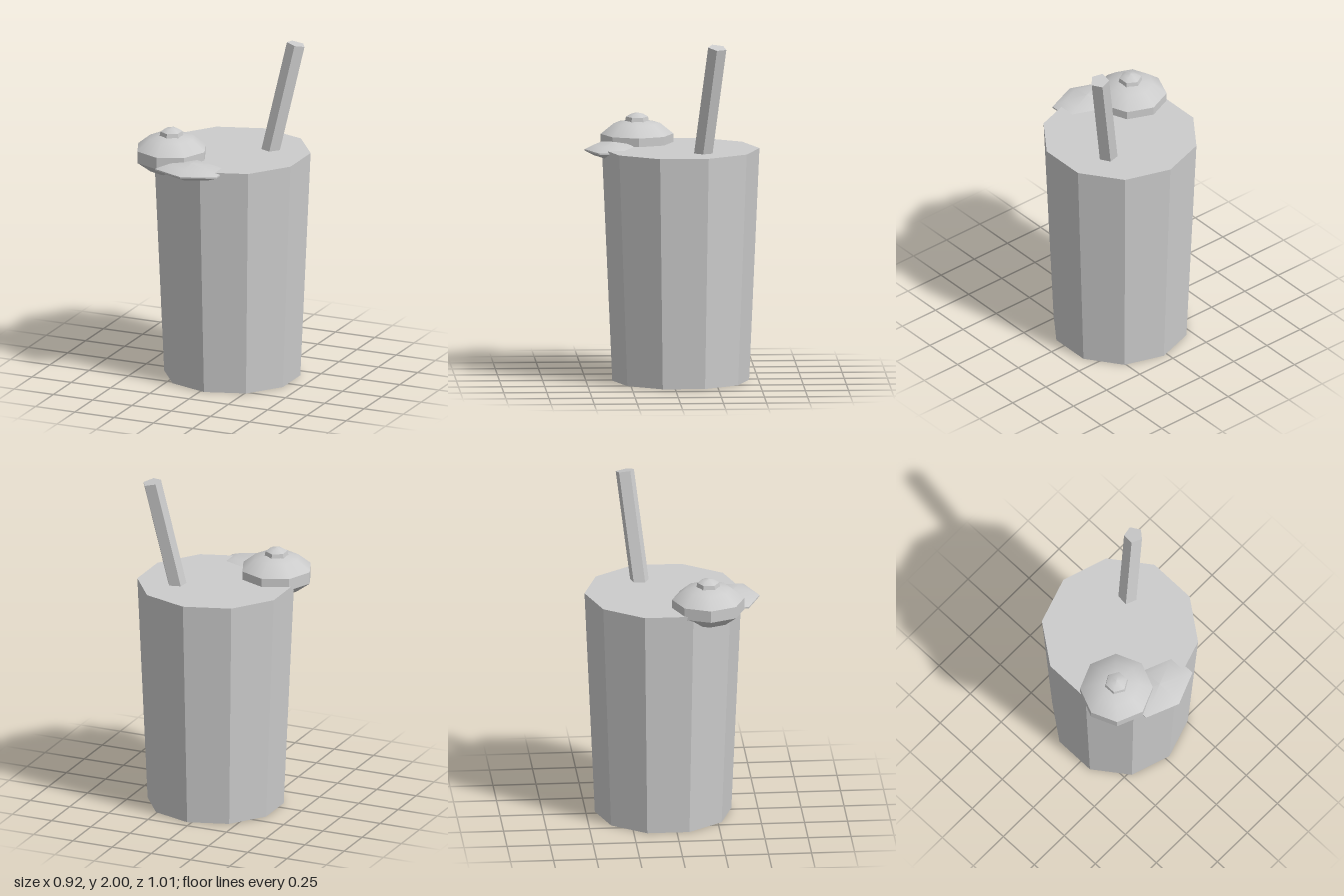
import * as THREE from 'three';

const grey = new THREE.MeshStandardMaterial({ color: 0xcccccc });
grey.name = 'plainGrey';

function add(parent, name, geometry) {
  const mesh = new THREE.Mesh(geometry, grey);
  mesh.name = name;
  parent.add(mesh);
  return mesh;
}

// Faceted prism or tapered prism, one normal per face
function faceted(rTop, rBottom, height, sides, open = false, turn = 0) {
  const g = new THREE.CylinderGeometry(rTop, rBottom, height, sides, 1, open, turn).toNonIndexed();
  g.computeVertexNormals();
  return g;
}

// Smooth low-poly dome from [radius, y] pairs listed bottom to top
function dome(points, sides) {
  return new THREE.LatheGeometry(points.map(([r, y]) => new THREE.Vector2(r, y)), sides);
}

export function createModel() {
  const model = new THREE.Group();
  model.name = 'drink';

  // Tapered ten-sided cup
  const cup = add(model, 'cup', faceted(0.457, 0.397, 1.355, 10));
  cup.position.set(0.025, 0.6775, -0.05);

  // Leaning five-sided straw
  const start = new THREE.Vector3(0.208, 1.305, -0.166);
  const end = new THREE.Vector3(0.343, 1.988, -0.247);
  const along = end.clone().sub(start);
  const straw = add(model, 'straw', faceted(0.056, 0.056, along.length(), 5, false, 0.23));
  straw.position.copy(start).add(end).multiplyScalar(0.5);
  straw.quaternion.setFromUnitVectors(new THREE.Vector3(0, 1, 0), along.normalize());

  // Round garnish: two domes joined by a band
  const garnish = new THREE.Group();
  garnish.name = 'garnish';
  garnish.position.set(-0.253, 0, 0.19);
  model.add(garnish);
  add(garnish, 'garnishTop', dome([[0.211, 1.405], [0.135, 1.467], [0.055, 1.483], [0, 1.488]], 8));
  add(garnish, 'garnishBand', faceted(0.211, 0.211, 0.07, 8, true)).position.y = 1.37;
  add(garnish, 'garnishBottom', dome([[0, 1.258], [0.055, 1.261], [0.13, 1.275], [0.211, 1.335]], 8));

  // Six-sided knob on the garnish
  add(garnish, 'knobBand', faceted(0.064, 0.071, 0.035, 6, true)).position.y = 1.4875;
  add(garnish, 'knobTop', dome([[0.064, 1.505], [0.035, 1.522], [0, 1.529]], 6));

  // Flat six-sided slice resting over the rim
  const slice = new THREE.Group();
  slice.name = 'slice';
  slice.position.set(-0.056, 0, 0.348);
  slice.scale.z = 0.7;
  model.add(slice);
  add(slice, 'sliceTop', dome([[0.223, 1.344], [0.14, 1.372], [0, 1.384]], 6));
  add(slice, 'sliceEdge', faceted(0.223, 0.223, 0.008, 6, true)).position.y = 1.34;
  add(slice, 'sliceBottom', dome([[0, 1.297], [0.14, 1.307], [0.223, 1.336]], 6));

  return model;
}
